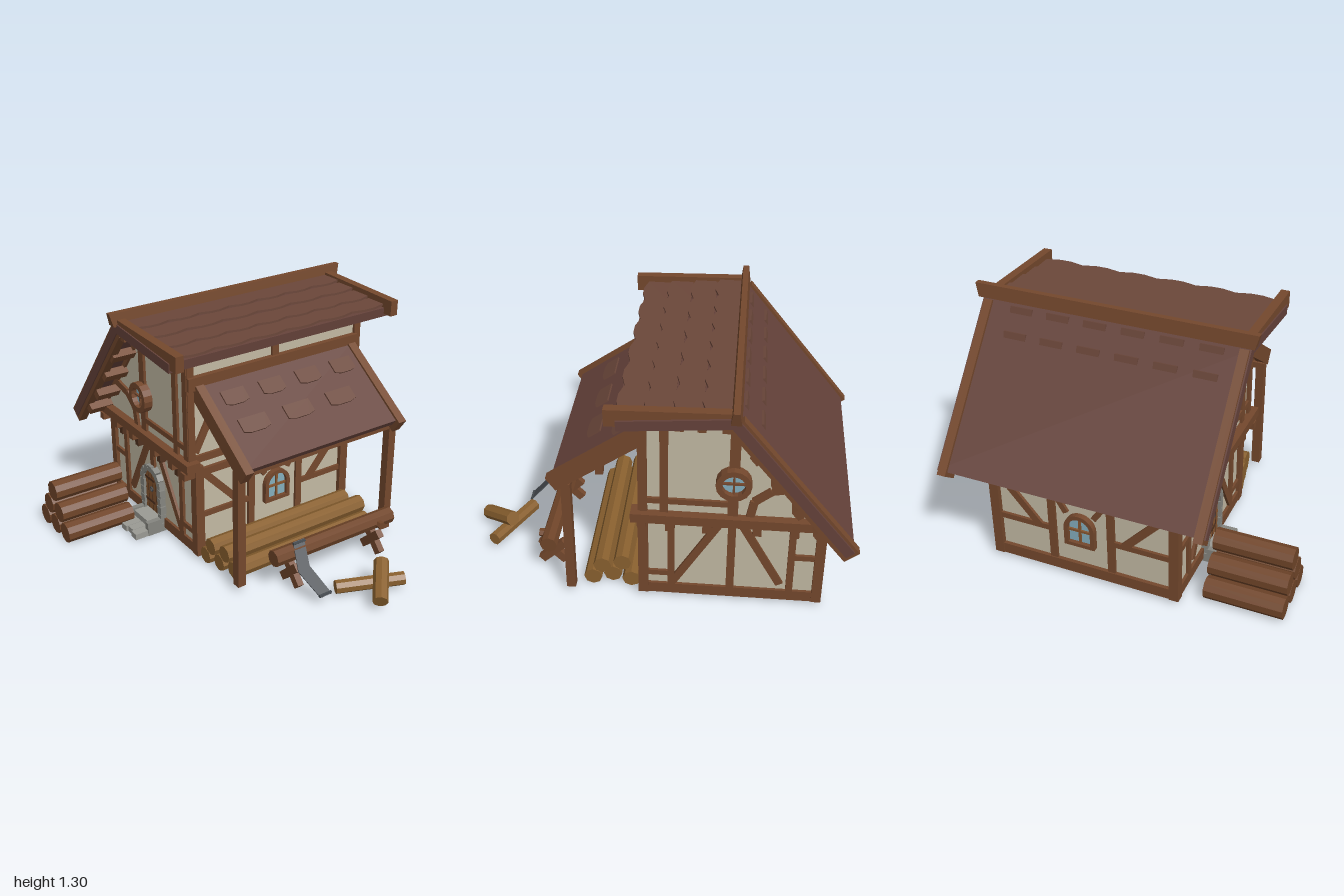
import * as THREE from 'three';

const mat = (color, double) => new THREE.MeshStandardMaterial({
  color, flatShading: true, side: double ? THREE.DoubleSide : THREE.FrontSide });
const M = {
  wall: mat(0xc2b9a3), timber: mat(0x74482d), dark: mat(0x50311f), roof: mat(0x65423a), tile: mat(0x6b473a),
  log: mat(0x704529), cut: mat(0x89602f), door: mat(0x85552f), stone: mat(0x85857f), slab: mat(0x9a9a94),
  glass: mat(0x84aebd), iron: mat(0x43484d, true),
};
const V = (x, y, z) => new THREE.Vector3(x, y, z);
const Z = V(0, 0, 1), X = V(1, 0, 0);

function add(parent, name, geo, material, pos) {
  const m = new THREE.Mesh(geo, material);
  m.name = name;
  if (pos) m.position.copy(pos);
  parent.add(m);
  return m;
}
function group(parent, name) {
  const g = new THREE.Group();
  g.name = name;
  parent.add(g);
  return g;
}
// Box given by its limits
function block(p, name, x0, x1, y0, y1, z0, z1, material = M.timber) {
  return add(p, name, new THREE.BoxGeometry(x1 - x0, y1 - y0, z1 - z0), material,
    V((x0 + x1) / 2, (y0 + y1) / 2, (z0 + z1) / 2));
}
// Box running from a to b; t is its depth along n, w its width across
function beam(p, name, a, b, w, t, n = Z, material = M.timber) {
  const dir = b.clone().sub(a), len = dir.length();
  dir.normalize();
  const side = n.clone().cross(dir).negate().normalize();
  const m = add(p, name, new THREE.BoxGeometry(w, len, t), material, a.clone().add(b).multiplyScalar(0.5));
  m.quaternion.setFromRotationMatrix(new THREE.Matrix4().makeBasis(side, dir, side.clone().cross(dir)));
  return m;
}
function log(p, name, a, b, r, material, sides = 8) {
  const d = b.clone().sub(a);
  const m = add(p, name, new THREE.CylinderGeometry(r, r, d.length(), sides), material,
    a.clone().add(b).multiplyScalar(0.5));
  m.quaternion.setFromUnitVectors(V(0, 1, 0), d.normalize());
  return m;
}
const extrude = (shape, depth) => new THREE.ExtrudeGeometry(shape, { depth, bevelEnabled: false, curveSegments: 8 });
// Upright opening with a round head, standing on y = 0
function arch(r, h, Type = THREE.Shape) {
  const s = new Type();
  s.moveTo(-r, 0); s.lineTo(r, 0); s.lineTo(r, h);
  s.absarc(0, h, r, 0, Math.PI, false);
  s.lineTo(-r, 0);
  return s;
}

function roundWindow(p) {
  const g = group(p, 'roundWindow');
  add(g, 'glass', new THREE.CircleGeometry(0.07, 12), M.glass, V(0, 0, 0.02));
  const ring = new THREE.Shape().absarc(0, 0, 0.085, 0, Math.PI * 2);
  ring.holes.push(new THREE.Path().absarc(0, 0, 0.056, 0, Math.PI * 2, true));
  add(g, 'windowFrame', extrude(ring, 0.05), M.timber);
  block(g, 'mullion', -0.005, 0.005, -0.06, 0.06, 0.015, 0.032);
  block(g, 'crossbar', -0.06, 0.06, -0.005, 0.005, 0.015, 0.032);
  return g;
}
function archedWindow(p) {
  const g = group(p, 'archedWindow');
  const s = arch(0.082, 0.105), hole = arch(0.06, 0.085, THREE.Path);
  hole.curves.forEach(c => { if (c.isLineCurve) { c.v1.y += 0.02; c.v2.y += 0.02; } else c.aY += 0.02; });
  s.holes.push(hole);
  add(g, 'windowFrame', extrude(s, 0.03), M.timber);
  add(g, 'glass', extrude(arch(0.065, 0.105), 0.01), M.glass);
  block(g, 'mullion', -0.006, 0.006, 0.01, 0.17, 0.008, 0.02, M.door);
  block(g, 'crossbar', -0.06, 0.06, 0.085, 0.097, 0.008, 0.02, M.door);
  return g;
}

function entrance(p) {
  const g = group(p, 'entrance');
  g.position.set(-0.4, 0.08, 0.37);
  add(g, 'door', extrude(arch(0.078, 0.18), 0.02), M.door);
  for (const x of [-0.04, 0, 0.04]) block(g, 'plankGap', x - 0.002, x + 0.002, 0, 0.24, 0.018, 0.022, M.dark);
  for (const y of [0.05, 0.19]) block(g, 'hinge', -0.07, 0.03, y, y + 0.015, 0.018, 0.025, M.dark);
  add(g, 'handle', new THREE.TorusGeometry(0.013, 0.004, 5, 10), M.iron, V(0, 0.14, 0.026));
  for (const s of [-1, 1]) for (let i = 0; i < 5; i++) {
    const w = i % 2 ? 0.033 : 0.04;
    block(g, 'jambStone', s * 0.09 - w / 2, s * 0.09 + w / 2, -0.08 + i * 0.052, -0.032 + i * 0.052, 0, 0.035, M.stone);
  }
  for (let i = 0; i < 7; i++) {
    const a = (i + 0.5) * Math.PI / 7;
    const m = add(g, 'archStone', new THREE.BoxGeometry(0.036, 0.04, 0.036), M.stone,
      V(Math.cos(a) * 0.091, 0.18 + Math.sin(a) * 0.091, 0.018));
    m.rotation.z = a;
  }
  block(g, 'upperStep', -0.1, 0.1, -0.08, -0.01, 0, 0.1, M.slab);
  for (let i = 0; i < 4; i++)
    block(g, 'lowerStep', -0.11 + i * 0.055, -0.058 + i * 0.055, -0.08, -0.045, 0.1, 0.185 + (i % 2) * 0.012, M.slab);
  for (const s of [-1, 1]) block(g, 'stepEdge', s * 0.095 - 0.015, s * 0.095 + 0.015, -0.08, 0.0, 0.03, 0.12, M.stone);
}

// Timber framing of the front (s = 1) or back (s = -1)
function gableFraming(p, s) {
  const g = group(p, s > 0 ? 'frontFraming' : 'backFraming');
  const zl = s > 0 ? 0.37 : -0.61, zu = s > 0 ? 0.41 : -0.68;
  const lo = (x0, y0, x1, y1, w = 0.04) => beam(g, 'lowerTimber', V(x0, y0, zl), V(x1, y1, zl), w, 0.03);
  const up = (x0, y0, x1, y1, w = 0.04) => beam(g, 'upperTimber', V(x0, y0, zu), V(x1, y1, zu), w, 0.03);
  if (s > 0) { lo(-0.86, 0.05, -0.5, 0.05, 0.06); lo(-0.29, 0.05, 0.05, 0.05, 0.06); lo(-0.4, 0.36, -0.4, 0.55); }
  else { lo(-0.86, 0.05, 0.05, 0.05, 0.06); lo(-0.4, 0.05, -0.4, 0.55); }
  lo(-0.7, 0.05, -0.7, 0.55, 0.035); lo(-0.1, 0.05, -0.1, 0.55, 0.035);
  lo(-0.42, 0.54, -0.65, 0.12); lo(-0.37, 0.54, -0.1, 0.08);
  lo(-0.84, 0.3, -0.7, 0.3, 0.03); lo(-0.1, 0.15, 0.04, 0.15, 0.03);
  up(-0.4, 0.58, -0.4, 1.2, 0.05); up(-0.07, 0.58, -0.07, 1.17); up(0.03, 0.58, 0.03, 1.16);
  up(-0.4, 0.665, 0.04, 0.665, 0.03); up(-0.4, 1.185, 0.05, 1.155, 0.035);
  up(-0.84, 0.62, -0.4, 1.17);
  const curve = [[-0.7, 0.78], [-0.58, 0.755], [-0.5, 0.69], [-0.48, 0.58]];
  for (let i = 0; i < 3; i++) up(...curve[i], ...curve[i + 1]);
  beam(g, 'floorBeam', V(-0.86, 0.575, zu + s * 0.005), V(0.09, 0.575, zu + s * 0.005), 0.05, 0.08);
  for (const x of [-0.7, -0.52, -0.28, -0.1]) {
    const e = zl + s * 0.04;
    block(g, 'bracket', x - 0.022, x + 0.022, 0.5, 0.56, Math.min(zl, zu + s * 0.035), Math.max(zl, zu + s * 0.035));
    block(g, 'bracketFoot', x - 0.017, x + 0.017, 0.45, 0.5, Math.min(zl, e), Math.max(zl, e), M.dark);
  }
  const w = roundWindow(g);
  w.position.set(-0.4, 0.8, zu);
  if (s < 0) w.rotation.y = Math.PI;
}
// Timber framing of the right (s = 1) or left (s = -1) long side
function sideFraming(p, s) {
  const g = group(p, s > 0 ? 'eastFraming' : 'westFraming');
  const x = s > 0 ? 0.04 : -0.84;
  const t = (z0, y0, z1, y1, w = 0.04, d = 0.03) => beam(g, 'sideTimber', V(x, y0, z0), V(x, y1, z1), w, d, X);
  t(0.38, 0.05, -0.62, 0.05, 0.06, 0.04);
  t(0.455, 0.52, -0.7, 0.52, 0.04, 0.04);
  t(0.37, 0.26, 0.04, 0.26, 0.03); t(-0.29, 0.26, -0.61, 0.26, 0.03);
  t(0.03, 0.05, 0.03, 0.54); t(-0.29, 0.05, -0.29, 0.54);
  t(0.34, 0.52, 0.1, 0.26); t(-0.58, 0.52, -0.36, 0.26);
  t(-0.06, 0.38, 0.02, 0.5, 0.03); t(-0.21, 0.38, -0.28, 0.5, 0.03);
  t(0.41, 0.6, -0.68, 0.6);
  for (const z of [0.365, -0.605]) block(g, 'cornerPost', x - 0.025, x + 0.025, 0.02, 0.56, z - 0.025, z + 0.025);
  if (s > 0) {
    for (const z of [0.4, -0.12, -0.67]) t(z, 0.58, z, 1.16);
    t(0.42, 1.03, -0.66, 1.03, 0.07, 0.06); t(0.42, 1.14, -0.7, 1.14, 0.03);
    for (const e of [[0.38, 0.2], [-0.65, -0.46]]) t(e[0], 0.64, e[1], 0.98);
  }
  const w = archedWindow(g);
  w.position.set(x, 0.2, -0.135);
  w.rotation.y = s * Math.PI / 2;
}

// Course of tiles on a slope from a to b with a scalloped lower edge
function tileCourse(p, a, b, z0, z1, count, gapped) {
  const dir = b.clone().sub(a), len = dir.length(), step = (z1 - z0) / count;
  const g = group(p, 'tileCourse');
  g.position.copy(a);
  g.rotation.z = Math.atan2(dir.y, dir.x);
  for (let i = 0; i < count; i++) {
    const c = gapped ? step * 0.2 : 0;
    const s = new THREE.Shape();
    s.moveTo(0, c); s.lineTo(len * 0.86, c); s.lineTo(len, step * 0.35);
    s.lineTo(len, step * 0.65); s.lineTo(len * 0.86, step - c); s.lineTo(0, step - c);
    const m = add(g, 'tile', extrude(s, 0.012), M.tile, V(0, 0, z0 + i * step));
    m.rotation.x = Math.PI / 2;
    m.rotation.z = 0;
    m.position.y = 0.012;
    m.rotateOnAxis(Z, 0.0);
  }
}

function roof(p) {
  const g = group(p, 'roof');
  const slab = (name, x0, y0, x1, y1, z0, z1, th, m) =>
    beam(g, name, V(x0, y0, (z0 + z1) / 2), V(x1, y1, (z0 + z1) / 2), th, z1 - z0, Z, m);
  slab('steepSlope', -0.4, 1.215, -0.955, 0.526, -0.845, 0.565, 0.05, M.roof);
  slab('shallowSlope', -0.41, 1.222, 0.13, 1.18, -0.845, 0.565, 0.05, M.roof);
  for (const z of [0.535, -0.81]) {
    slab('steepBargeboard', -0.4, 1.206, -0.965, 0.505, z - 0.023, z + 0.023, 0.088);
    slab('shallowBargeboard', -0.41, 1.225, 0.185, 1.213, z - 0.023, z + 0.023, 0.085);
  }
  // Ridge beam, longer at its top edge
  const ridge = new THREE.BoxGeometry(0.05, 0.07, 1.45), q = ridge.attributes.position;
  for (let i = 0; i < q.count; i++) if (q.getY(i) > 0) { q.setX(i, q.getX(i) * 0.6); q.setZ(i, q.getZ(i) * 1.025); }
  add(g, 'ridgeBeam', ridge, M.timber, V(-0.4, 1.268, -0.145));
  // Rafter ends under both slopes
  for (const [x, y] of [[-0.5, 1.02], [-0.6, 0.875], [-0.705, 0.725], [-0.81, 0.6]])
    beam(g, 'purlin', V(x - 0.016, y - 0.02, -0.135), V(x + 0.016, y + 0.02, -0.135), 0.045, 1.36);
  for (const x of [-0.36, -0.25, -0.15, -0.05, 0.03])
    block(g, 'purlin', x - 0.02, x + 0.02, 1.155, 1.2, -0.82, 0.545);
  const at = x => 1.255 - (x + 0.4) * 0.075;
  [-0.38, -0.25, -0.12, 0.005].forEach((x, i) =>
    tileCourse(g, V(x, at(x) - 0.012, 0), V(x + 0.135, at(x + 0.135), 0), -0.785, 0.51, 7 - i % 2));
  // Scattered raised tiles on the steep slope
  for (const x of [-0.45, -0.53])
    tileCourse(g, V(x + 0.02, 1.213 + (x + 0.42) * 1.241 + 0.036, 0).add(V(-0.012, 0.012, 0)),
      V(x - 0.04, 1.213 + (x + 0.36) * 1.241 - 0.05, 0), -0.72, 0.48, 6, true);
}

function leanTo(p) {
  const g = group(p, 'leanTo');
  const slope = (name, z0, z1, th, e, m) => beam(g, name, V(0.05, 0.987 + e, (z0 + z1) / 2),
    V(0.485 - e, 0.685 + 1.5 * e, (z0 + z1) / 2), th, z1 - z0, Z, m);
  slope('shedRoof', -0.63, 0.37, 0.04, 0.015, M.roof);
  for (const z of [0.358, -0.618]) {
    slope('shedBargeboard', z - 0.024, z + 0.024, 0.085, 0);
    block(g, 'shedPost', 0.39, 0.437, 0.03, 0.69, z - 0.023, z + 0.023);
  }
  block(g, 'shedBeam', 0.39, 0.435, 0.655, 0.69, -0.62, 0.36);
  for (const x of [0.17, 0.29]) {
    const y = 0.92 - (x - 0.1) * 0.7;
    block(g, 'shedPurlin', x - 0.018, x + 0.018, y - 0.02, y + 0.02, -0.62, 0.36);
  }
  tileCourse(g, V(0.12, 0.974, 0), V(0.19, 0.923, 0), -0.6, 0.32, 4, true);
  tileCourse(g, V(0.26, 0.876, 0), V(0.33, 0.825, 0), -0.5, 0.32, 3, true);
}

function woodAndTools(p) {
  const stack = group(p, 'frontLogStack');
  for (const [x, y] of [[-0.745, 0.06], [-0.62, 0.06], [-0.5, 0.06], [-0.685, 0.16], [-0.56, 0.16], [-0.62, 0.266]])
    log(stack, 'log', V(x, y, 0.49), V(x, y, 0.893), 0.057, M.log, 10);
  const pile = group(p, 'sideLogStack');
  [[0.11, 0.047], [0.21, 0.047], [0.31, 0.047], [0.16, 0.125], [0.26, 0.125]].forEach(([x, y], i) =>
    log(pile, 'log', V(x, y, 0.37 - (i % 3) * 0.02), V(x, y, -0.57 + (i % 2) * 0.03), 0.047, M.cut));
  const horse = group(p, 'sawhorse');
  log(horse, 'sawnLog', V(0.535, 0.205, 0.235), V(0.545, 0.205, -0.53), 0.045, M.log);
  for (const z of [0.12, -0.425]) for (const s of [-1, 1])
    beam(horse, 'crossLeg', V(0.54 - s * 0.065, 0.03, z), V(0.54 + s * 0.065, 0.155, z + s * 0.01), 0.045, 0.035);
  log(horse, 'branchStub', V(0.54, 0.2, -0.425), V(0.61, 0.2, -0.425), 0.022, M.log, 6);
  // Curved saw blade leaning on the log
  const s = new THREE.Shape();
  s.moveTo(0, 0.045); s.lineTo(0.14, 0.085); s.lineTo(0.31, 0.035); s.lineTo(0.31, 0.105);
  s.lineTo(0.15, 0.16); s.lineTo(0, 0.115); s.closePath();
  const saw = group(p, 'saw');
  saw.position.set(0.54, 0.262, 0);
  saw.rotation.z = -Math.atan2(0.22, 0.23);
  add(saw, 'sawBlade', extrude(s, 0.005), M.iron).rotation.x = Math.PI / 2;
  for (const x of [0.01, 0.3])
    log(saw, 'sawHandle', V(x, 0, x < 0.1 ? 0.045 : 0.035), V(x, 0, x < 0.1 ? 0.12 : 0.11), 0.008, M.iron, 6);
  log(p, 'looseLog', V(0.735, 0.05, -0.01), V(0.885, 0.06, -0.34), 0.036, M.cut);
  log(p, 'leaningLog', V(0.795, 0.145, -0.26), V(0.97, 0.06, -0.105), 0.04, M.cut);
}

export function createModel() {
  const model = new THREE.Group();
  model.name = 'timberCottage';
  block(model, 'lowerWalls', -0.84, 0.04, 0.025, 0.57, -0.61, 0.37, M.wall);
  const s = new THREE.Shape([[-0.84, 0.555], [0.04, 0.555], [0.04, 1.16], [-0.39, 1.195], [-0.84, 0.63]]
    .map(([x, y]) => new THREE.Vector2(x, y)));
  add(model, 'upperWalls', extrude(s, 1.09), M.wall, V(0, 0, -0.68));
  for (const side of [1, -1]) { gableFraming(model, side); sideFraming(model, side); }
  entrance(model);
  roof(model);
  leanTo(model);
  woodAndTools(model);
  return model;
}
